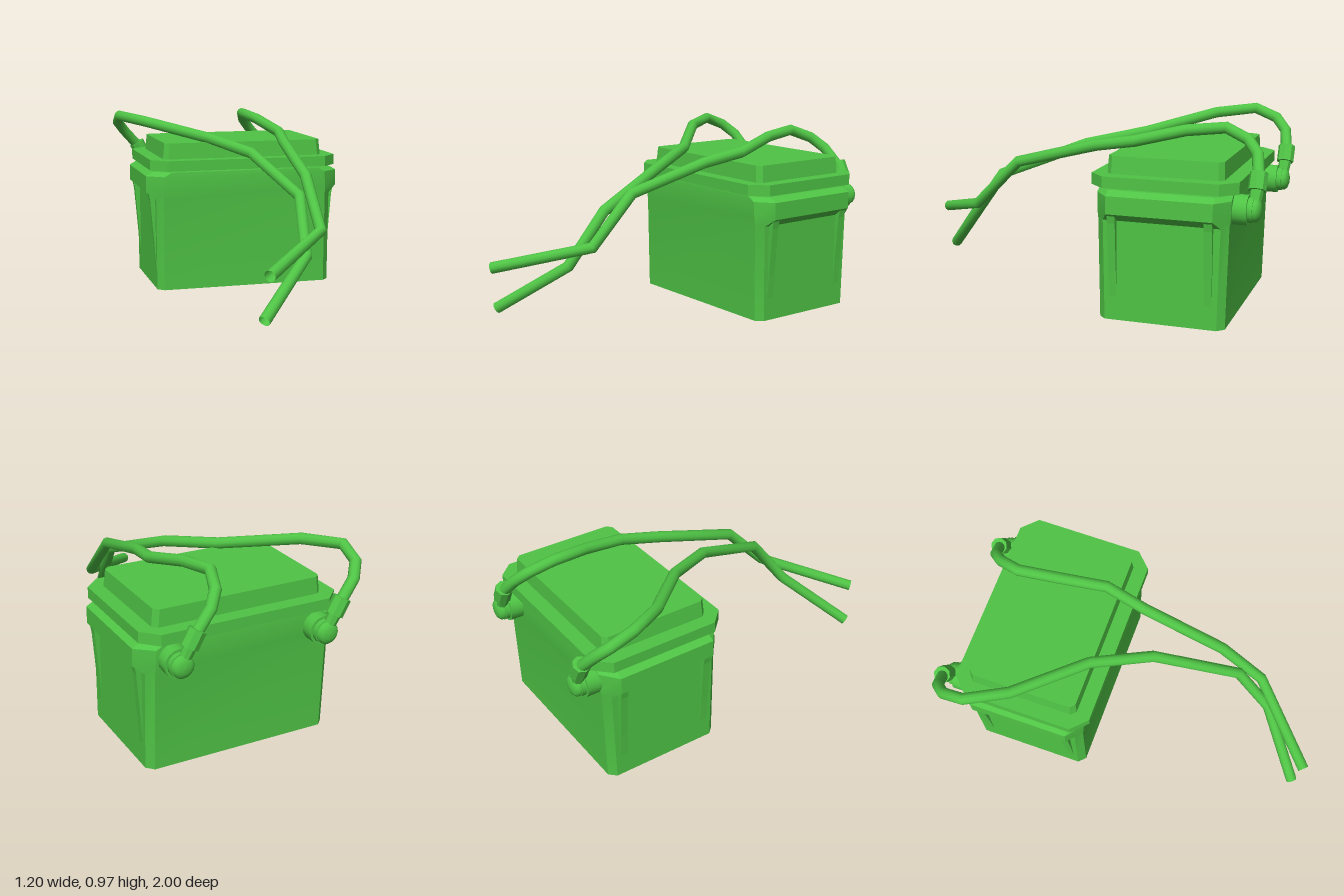
import * as THREE from 'three';
import { toCreasedNormals } from 'three/addons/utils/BufferGeometryUtils.js';

const CX = 0.045, CZ = -0.522; // centre of the box
const green = new THREE.MeshStandardMaterial({ color: 0x4fc445 });
const greenOpen = new THREE.MeshStandardMaterial({ color: 0x4fc445, side: THREE.DoubleSide });

function add(parent, name, geometry, material = green) {
  const mesh = new THREE.Mesh(geometry, material);
  mesh.name = name;
  parent.add(mesh);
  return mesh;
}

// Closed loft through corner-cut rectangles: [y, halfX, halfZ, cutX, cutZ]
function loft(sections) {
  const pos = [], index = [];
  for (const [y, hx, hz, cx, cz] of sections) {
    const ring = [
      [hx, hz - cz], [hx, -hz + cz], [hx - cx, -hz], [-hx + cx, -hz],
      [-hx, -hz + cz], [-hx, hz - cz], [-hx + cx, hz], [hx - cx, hz],
    ];
    for (const [x, z] of ring) pos.push(CX + x, y, CZ + z);
  }
  for (let i = 0; i < sections.length - 1; i++) {
    for (let j = 0; j < 8; j++) {
      const a = i * 8 + j, b = i * 8 + (j + 1) % 8;
      index.push(a, b, b + 8, a, b + 8, a + 8);
    }
  }
  const top = (sections.length - 1) * 8;
  for (let j = 1; j < 7; j++) {
    index.push(0, j + 1, j);
    index.push(top, top + j, top + j + 1);
  }
  const geo = new THREE.BufferGeometry();
  geo.setAttribute('position', new THREE.Float32BufferAttribute(pos, 3));
  geo.setIndex(index);
  return toCreasedNormals(geo, 0.5);
}

// Path whose samples fall exactly on its bends, with averaged tangents
class BentPath extends THREE.Curve {
  constructor(points) {
    super();
    this.pts = points.map((p) => new THREE.Vector3(...p));
  }
  at(u) { return Math.round(u * (this.pts.length - 1)); }
  getPoint(u, target = new THREE.Vector3()) { return target.copy(this.pts[this.at(u)]); }
  getPointAt(u, target) { return this.getPoint(u, target); }
  getTangentAt(u, target = new THREE.Vector3()) {
    const i = this.at(u), n = this.pts.length - 1, p = this.pts;
    target.set(0, 0, 0);
    if (i > 0) target.add(p[i].clone().sub(p[i - 1]).normalize());
    if (i < n) target.add(p[i + 1].clone().sub(p[i]).normalize());
    return target.normalize();
  }
}

// Cylinder between two points
function rod(parent, name, from, to, r1, r2, sides) {
  const a = new THREE.Vector3(...from), b = new THREE.Vector3(...to);
  const d = b.clone().sub(a);
  const geo = new THREE.CylinderGeometry(r2, r1, d.length(), sides);
  const mesh = add(parent, name, toCreasedNormals(geo, 0.7));
  mesh.position.copy(a).add(b).multiplyScalar(0.5);
  mesh.quaternion.setFromUnitVectors(new THREE.Vector3(0, 1, 0), d.normalize());
}

// Bolted connector on the back wall
function terminal(x, name) {
  const g = new THREE.Group();
  g.name = name;
  const y = 0.585;
  rod(g, 'post', [x, y, -0.83], [x, y, -0.925], 0.075, 0.075, 16);
  rod(g, 'lugRing', [x, y, -0.922], [x, y, -0.95], 0.062, 0.062, 16);
  const knob = new THREE.LatheGeometry([
    [0.057, 0], [0.057, 0.018], [0.045, 0.031], [0.025, 0.038], [0, 0.04],
  ].map(([r, h]) => new THREE.Vector2(r, h)), 16);
  const cap = add(g, 'boltHead', knob);
  cap.rotation.x = -Math.PI / 2;
  cap.position.set(x, y, -0.947);
  rod(g, 'lugNeck', [x, y, -0.945], [x - 0.045, 0.69, -0.955], 0.028, 0.034, 8);
  rod(g, 'lugBarrel', [x - 0.035, 0.675, -0.954], [x - 0.078, 0.755, -0.954], 0.045, 0.045, 8);
  return g;
}

export function createModel() {
  const model = new THREE.Group();
  model.name = 'batteryBox';

  // Box with flared rim
  add(model, 'body', loft([
    [0, 0.503, 0.32, 0.035, 0.035],
    [0.51, 0.505, 0.33, 0.035, 0.035],
    [0.55, 0.555, 0.335, 0.085, 0.07],
    [0.64, 0.555, 0.337, 0.09, 0.07],
    [0.663, 0.515, 0.335, 0.09, 0.07],
  ]));

  // Lid and its raised panel
  add(model, 'lid', loft([
    [0.674, 0.535, 0.37, 0.08, 0.08],
    [0.732, 0.535, 0.37, 0.08, 0.08],
  ]));
  add(model, 'lidPanel', loft([
    [0.72, 0.46, 0.295, 0.025, 0.025],
    [0.82, 0.45, 0.29, 0.025, 0.025],
  ]));

  // Tapered ribs under the rim on both sides
  const ribShape = new THREE.Shape([
    [0.49, 0.12], [0.504, 0.12], [0.512, 0.25], [0.533, 0.5], [0.545, 0.56], [0.49, 0.56],
  ].map(([x, y]) => new THREE.Vector2(x, y)));
  const ribGeo = new THREE.ExtrudeGeometry(ribShape, { depth: 0.04, bevelEnabled: false });
  ribGeo.translate(0, 0, -0.02);
  for (const side of [0, Math.PI]) {
    for (const z of [-0.278, -0.762]) {
      const rib = add(model, 'sideRib', ribGeo);
      rib.rotation.y = side;
      rib.position.set(CX, 0, z);
    }
  }

  // Terminals
  model.add(terminal(-0.36, 'rightTerminal'), terminal(0.427, 'leftTerminal'));

  // Cables over the lid, hanging down in front
  const cables = {
    rightCable: [
      [-0.425, 0.73, -0.955], [-0.515, 0.83, -0.93], [-0.565, 0.89, -0.87], [-0.573, 0.937, -0.75],
      [-0.46, 0.918, -0.55], [-0.15, 0.842, -0.24], [0.012, 0.785, 0.05],
      [0.135, 0.615, 0.49], [0.105, 0.35, 0.69], [-0.185, 0.11, 0.945],
    ],
    leftCable: [
      [0.362, 0.73, -0.955], [0.27, 0.83, -0.93], [0.215, 0.89, -0.87], [0.175, 0.937, -0.75],
      [0.21, 0.918, -0.55], [0.272, 0.86, -0.3], [0.235, 0.82, -0.08],
      [0.207, 0.7, 0.37], [0.207, 0.455, 0.61], [-0.168, 0.33, 0.978],
    ],
  };
  for (const [name, pts] of Object.entries(cables)) {
    add(model, name, new THREE.TubeGeometry(new BentPath(pts), pts.length - 1, 0.03, 10), greenOpen);
  }
  return model;
}
